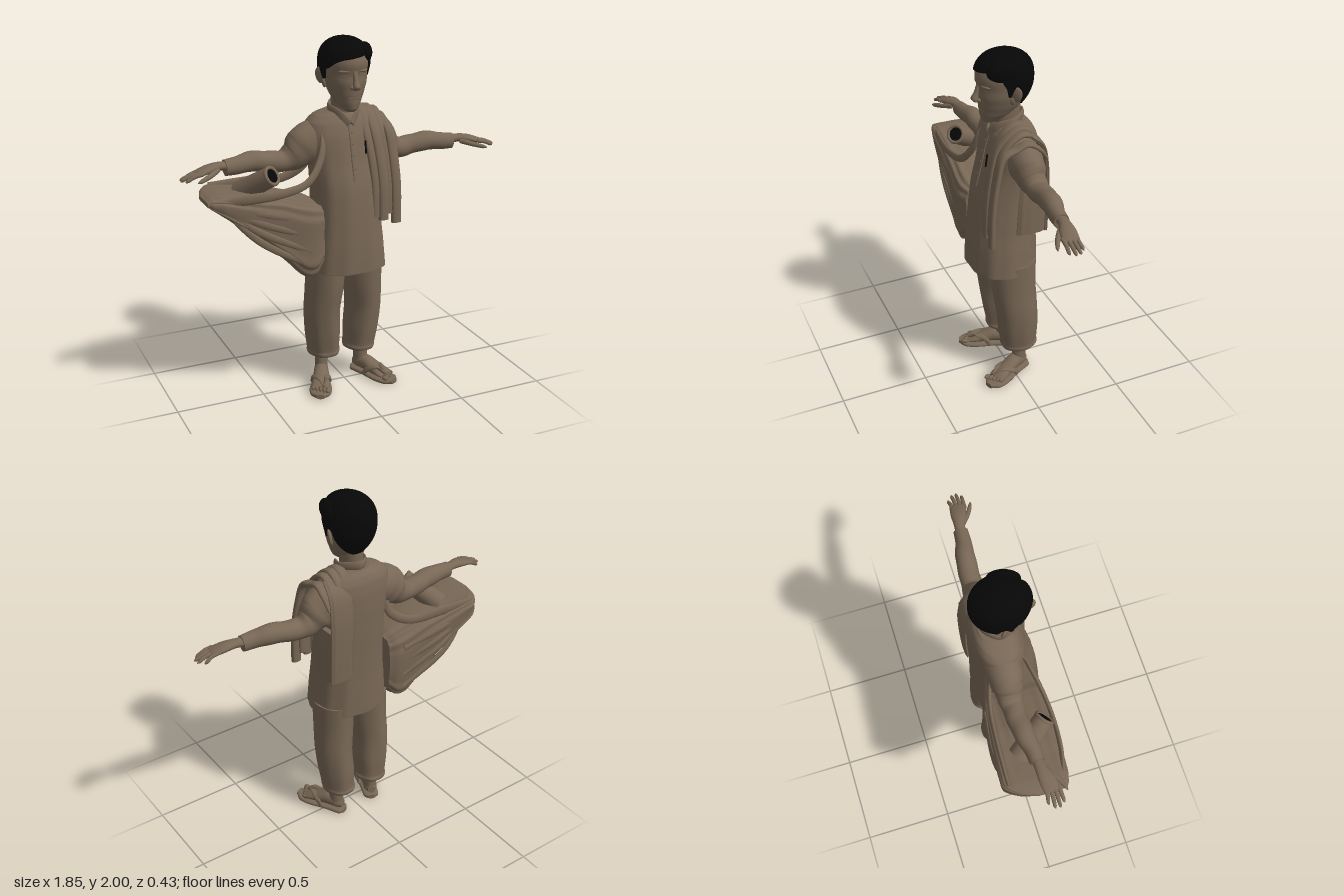
import * as THREE from 'three';

const X = new THREE.Vector3(1, 0, 0), Y = new THREE.Vector3(0, 1, 0), Z = new THREE.Vector3(0, 0, 1);

// Smooth closed loft. rows: [x, y, z, half size along u, half size along v]
function sweep(rows, { u = X, v = null, n = 24, steps = 6, pow = 2, fold = null } = {}) {
  const path = new THREE.CatmullRomCurve3(rows.map(r => new THREE.Vector3(r[0], r[1], r[2])));
  const size = new THREE.CatmullRomCurve3(rows.map(r => new THREE.Vector3(r[3], r[4], 0)), false, 'catmullrom', 0.4);
  const m = (rows.length - 1) * steps, pos = [], idx = [];
  const round = c => Math.sign(c) * Math.pow(Math.abs(c), 2 / pow);
  for (let i = 0; i <= m; i++) {
    const t = i / m, c = path.getPoint(t), s = size.getPoint(t), tan = path.getTangent(t);
    const vv = v ? v.clone() : tan.clone().cross(u).normalize();
    const uu = v ? u.clone() : vv.clone().cross(tan).normalize();
    for (let j = 0; j < n; j++) {
      const a = j / n * Math.PI * 2, f = fold ? fold(a, t) : 1;
      const p = c.clone().addScaledVector(uu, s.x * f * round(Math.cos(a))).addScaledVector(vv, s.y * f * round(Math.sin(a)));
      pos.push(p.x, p.y, p.z);
    }
  }
  const ends = path.getPoint(1).sub(path.getPoint(0));
  const flip = v && u.clone().cross(v).dot(ends) < 0;
  const tri = (a, b, c) => flip ? idx.push(a, c, b) : idx.push(a, b, c);
  for (let i = 0; i < m; i++) for (let j = 0; j < n; j++) {
    const a = i * n + j, b = i * n + (j + 1) % n;
    tri(a, b, a + n); tri(b, b + n, a + n);
  }
  // flat end caps on their own vertices
  for (const [row, first] of [[0, true], [m, false]]) {
    const base = pos.length / 3, c = path.getPoint(row / m);
    for (let k = 0; k < n * 3; k++) pos.push(pos[row * n * 3 + k]);
    pos.push(c.x, c.y, c.z);
    for (let j = 0; j < n; j++) {
      const a = base + j, b = base + (j + 1) % n;
      first ? tri(base + n, b, a) : tri(base + n, a, b);
    }
  }
  const g = new THREE.BufferGeometry();
  g.setAttribute('position', new THREE.Float32BufferAttribute(pos, 3));
  g.setIndex(idx);
  g.computeVertexNormals();
  return g;
}

// Hair shell: its lower edge follows the hairline around the head
function hairGeometry() {
  const n = 80, m = 18;
  const edge = new THREE.CatmullRomCurve3([[0, 1.905], [0.2, 1.9], [0.34, 1.87], [0.42, 1.845], [0.44, 1.79], [0.48, 1.79], [0.51, 1.835],
    [0.57, 1.835], [0.6, 1.79], [0.7, 1.725], [0.85, 1.695], [1, 1.69]].map(p => new THREE.Vector3(p[0], p[1], 0)));
  const pts = edge.getPoints(240);
  const line = k => pts.reduce((b, p) => Math.abs(p.x - k) < Math.abs(b.x - k) ? p : b).y;
  const pos = [], idx = [];
  for (let i = 0; i <= m; i++) for (let j = 0; j < n; j++) {
    const a = j / n * Math.PI * 2, k = Math.acos(Math.cos(a)) / Math.PI; // k: 0 front, 1 back
    const low = line(k) + (k < 0.4 ? 0.02 * Math.sin(a) : 0);
    const q = Math.max(0, i - 1) / (m - 1), y = low + (2 - low) * Math.sin(q * Math.PI / 2);
    let r = y > 1.85 ? Math.pow(Math.max(0, 1 - ((y - 1.85) / 0.15) ** 2.7), 0.5) : 1 - 0.45 * ((1.85 - y) / 0.16) ** 2 * (k > 0.6 ? 1 : 0.9);
    if (i === 0) r *= 0.86;
    // side parting above the left temple
    const part = 1 - 0.08 * Math.exp(-(((a - 0.6) / 0.12) ** 2)) * (1 - q * 0.6);
    pos.push(Math.sin(a) * 0.139 * r * part, y, Math.cos(a) * 0.162 * r * part - 0.001);
  }
  for (let i = 0; i < m; i++) for (let j = 0; j < n; j++) {
    const a = i * n + j, b = i * n + (j + 1) % n;
    idx.push(a, b, a + n, b, b + n, a + n);
  }
  const g = new THREE.BufferGeometry();
  g.setAttribute('position', new THREE.Float32BufferAttribute(pos, 3));
  g.setIndex(idx);
  g.computeVertexNormals();
  return g;
}

export function createModel() {
  const root = new THREE.Group();
  const brown = new THREE.MeshStandardMaterial({ color: 0x786755 });
  brown.name = 'warm brown';
  const black = new THREE.MeshStandardMaterial({ color: 0x070707, side: THREE.DoubleSide });
  black.name = 'black';
  const add = (parent, name, geo, mat = brown) => {
    const mesh = new THREE.Mesh(geo, mat);
    mesh.name = name;
    parent.add(mesh);
    return mesh;
  };
  const ball = (parent, name, p, s, mat = brown) => {
    const b = add(parent, name, new THREE.SphereGeometry(1, 18, 12), mat);
    b.position.set(...p);
    b.scale.set(...s);
    return b;
  };

  // Head and face
  const head = new THREE.Group();
  head.name = 'head';
  root.add(head);
  add(head, 'skull', sweep([[0, 1.612, 0.078, 0.025, 0.03], [0, 1.63, 0.066, 0.046, 0.06], [0, 1.67, 0.035, 0.073, 0.098], [0, 1.72, 0.018, 0.096, 0.121],
    [0, 1.77, 0.012, 0.111, 0.132], [0, 1.81, 0.007, 0.115, 0.135], [0, 1.87, 0.004, 0.12, 0.148], [0, 1.93, 0.003, 0.108, 0.13], [0, 1.97, 0, 0.07, 0.08]], { v: Z, n: 36 }));
  add(head, 'neck', sweep([[0, 1.53, -0.035, 0.075, 0.075], [0, 1.6, -0.025, 0.06, 0.072], [0, 1.7, -0.02, 0.062, 0.075]], { v: Z }));
  add(head, 'nose', sweep([[0, 1.84, 0.134, 0.014, 0.012], [0, 1.79, 0.148, 0.013, 0.015], [0, 1.755, 0.161, 0.02, 0.02], [0, 1.738, 0.152, 0.022, 0.016]], { n: 16, v: Z }));
  ball(head, 'upperLip', [0, 1.691, 0.123], [0.036, 0.006, 0.013]);
  ball(head, 'lowerLip', [0, 1.679, 0.121], [0.03, 0.007, 0.012]);
  ball(head, 'chin', [0, 1.637, 0.105], [0.03, 0.022, 0.02]);
  add(head, 'hair', hairGeometry(), black);
  ball(head, 'sweptHair', [0.098, 1.915, 0.045], [0.04, 0.052, 0.085], black).rotation.y = -0.3;
  for (const s of [1, -1]) {
    ball(head, 'nostril', [s * 0.018, 1.748, 0.142], [0.011, 0.011, 0.014]);
    ball(head, 'eyelid', [s * 0.045, 1.807, 0.118], [0.025, 0.011, 0.012]).rotation.y = s * 0.35;
    ball(head, 'brow', [s * 0.05, 1.833, 0.122], [0.036, 0.009, 0.016]).rotation.y = s * 0.4;
    const ear = ball(head, 'ear', [s * 0.131, 1.797, -0.018], [0.011, 0.046, 0.029]);
    ear.rotation.set(-0.1, s * -0.6, s * -0.22);
    ball(head, 'earLobe', [s * 0.116, 1.757, -0.005], [0.009, 0.026, 0.016]).rotation.z = s * -0.25;
  }

  // Long shirt, hollow at the hem
  add(root, 'shirt', sweep([[0, 0.8, 0.022, 0.205, 0.172], [0, 0.735, 0.022, 0.212, 0.18], [0, 0.73, 0.022, 0.222, 0.19], [0, 0.85, 0.02, 0.21, 0.188], [0, 1, 0.015, 0.195, 0.182],
    [0, 1.2, 0.002, 0.188, 0.172], [0, 1.35, -0.018, 0.195, 0.152], [0, 1.47, -0.03, 0.212, 0.137], [0, 1.54, -0.038, 0.203, 0.12], [0, 1.58, -0.042, 0.162, 0.1], [0, 1.605, -0.04, 0.085, 0.078]],
  { v: Z, n: 72, pow: 2.3, fold: (a, t) => 1 + 0.018 * (1 - t) * Math.sin(11 * a + 2 * t) }));
  add(root, 'collar', sweep([[0.012, 1.535, 0.085, 0.03, 0.007], [0.055, 1.59, 0.045, 0.03, 0.008], [0.078, 1.618, -0.03, 0.024, 0.008], [0, 1.632, -0.108, 0.024, 0.008],
    [-0.078, 1.618, -0.03, 0.024, 0.008], [-0.055, 1.59, 0.045, 0.03, 0.008], [-0.012, 1.535, 0.085, 0.03, 0.007]], { u: Y, n: 12 }));
  add(root, 'placket', sweep([[0, 1.54, 0.08, 0.016, 0.006], [0, 1.47, 0.106, 0.016, 0.006], [0, 1.35, 0.134, 0.016, 0.006], [0, 1.24, 0.163, 0.016, 0.006]], { n: 12, pow: 4 }));
  for (const [y, z] of [[1.5, 0.102], [1.44, 0.119], [1.38, 0.133], [1.31, 0.15]]) ball(root, 'button', [0, y, z], [0.006, 0.006, 0.003]);
  const pen = add(root, 'pen', new THREE.CylinderGeometry(0.005, 0.005, 0.07, 10), black);
  pen.position.set(0.07, 1.418, 0.127);
  pen.rotation.x = -0.15;

  // Shawl over the left shoulder: hanging folds in front, a smooth sheet behind
  for (let i = 0; i < 4; i++) {
    const x = 0.095 + i * 0.041, top = [1.612, 1.605, 1.59, 1.553][i], w = 0.028, out = i % 2 * 0.012;
    const bottom = [1.03, 1.01, 1.04, 0.985][i], bx = 0.122 + i * 0.038;
    add(root, 'shawlFold', sweep([[bx, bottom, 0.16 + out, w, 0.018], [bx, 1.2, 0.152 + out, w, 0.017], [(x + bx) / 2, 1.38, 0.122 + out, w, 0.016],
      [x, 1.5, 0.082 + out, w, 0.016], [x, top - 0.02, 0.02, w, 0.014], [x, top, -0.04, w, 0.014], [x, top - 0.04, -0.105, w, 0.012],
      [x * 0.95, 1.45, -0.15, w, 0.01]], { n: 16, pow: 2.6 }));
  }
  add(root, 'shawlBack', sweep([[0.16, 1, -0.156, 0.066, 0.014], [0.16, 1.2, -0.162, 0.066, 0.014], [0.155, 1.4, -0.158, 0.07, 0.015], [0.148, 1.52, -0.133, 0.073, 0.015],
    [0.143, 1.58, -0.07, 0.068, 0.015]], { n: 40, pow: 2.6, fold: a => 1 + 0.05 * Math.sin(9 * a) }));
  add(root, 'shawlSide', sweep([[0.207, 1, -0.075, 0.02, 0.085], [0.207, 1.15, -0.08, 0.018, 0.08], [0.2, 1.3, -0.088, 0.015, 0.07]],
    { v: Z, n: 36, fold: a => 1 + 0.05 * Math.sin(9 * a) }));

  // Arms, legs and feet, built for the left and mirrored
  for (const side of [1, -1]) {
    const half = new THREE.Group();
    half.name = side > 0 ? 'leftLimbs' : 'rightLimbs';
    half.scale.x = side;
    root.add(half);
    add(half, 'sleeve', sweep([[0.13, 1.455, -0.04, 0.11, 0.1], [0.195, 1.43, -0.04, 0.115, 0.094], [0.245, 1.395, -0.042, 0.104, 0.085], [0.29, 1.362, -0.044, 0.077, 0.07],
      [0.35, 1.344, -0.046, 0.059, 0.06], [0.43, 1.354, -0.044, 0.055, 0.056], [0.52, 1.366, -0.036, 0.055, 0.054], [0.61, 1.358, -0.02, 0.048, 0.044], [0.675, 1.354, -0.015, 0.044, 0.04]],
    { u: Y, n: 32, steps: 10, fold: (a, t) => 1 + 0.03 * Math.sin(t * 36 + 2 * Math.sin(a)) * Math.sin(Math.PI * t) }));
    add(half, 'palm', sweep([[0.64, 1.36, -0.015, 0.026, 0.03], [0.71, 1.368, -0.012, 0.023, 0.03], [0.77, 1.362, 0, 0.022, 0.042], [0.83, 1.348, 0.012, 0.015, 0.045],
      [0.845, 1.343, 0.014, 0.009, 0.042]], { u: Y }));
    for (let i = 0; i < 4; i++) {
      const z = -0.02 + i * 0.023, e = [0.895, 0.922, 0.925, 0.905][i], spread = (i - 1.5) * 0.003;
      add(half, 'finger', sweep([[0.81, 1.352, z, 0.011, 0.011], [(0.81 + e) / 2, 1.343, z + 0.001, 0.011, 0.011], [e - 0.012, 1.326, z + spread, 0.009, 0.009],
        [e, 1.321, z + spread, 0.003, 0.003]], { u: Y, n: 10, steps: 4 }));
    }
    add(half, 'thumb', sweep([[0.72, 1.355, 0.01, 0.016, 0.016], [0.77, 1.34, 0.05, 0.014, 0.014], [0.83, 1.325, 0.083, 0.011, 0.01], [0.85, 1.32, 0.09, 0.003, 0.003]], { u: Y, n: 12 }));

    // trouser leg turns inward at the bottom, leaving a hollow cuff
    add(half, 'trouserLeg', sweep([[0.111, 0.25, -0.048, 0.076, 0.09], [0.111, 0.185, -0.048, 0.08, 0.094], [0.111, 0.176, -0.048, 0.088, 0.103], [0.111, 0.192, -0.048, 0.094, 0.109],
      [0.113, 0.212, -0.046, 0.091, 0.106], [0.12, 0.32, -0.038, 0.098, 0.116], [0.127, 0.45, -0.027, 0.099, 0.121], [0.117, 0.6, -0.013, 0.105, 0.128], [0.112, 0.78, -0.005, 0.11, 0.135]],
    { v: Z, n: 40, fold: (a, t) => 1 + 0.022 * Math.sin(6 * a + 5 * t) * Math.sin(Math.PI * t) }));

    const foot = new THREE.Group();
    foot.name = 'foot';
    foot.position.set(0.165, 0, 0.045);
    foot.rotation.y = 0.42;
    half.add(foot);
    add(foot, 'ankle', sweep([[0, 0.05, -0.1, 0.038, 0.047], [0, 0.11, -0.1, 0.037, 0.043], [0, 0.27, -0.105, 0.038, 0.042]], { v: Z }));
    add(foot, 'instep', sweep([[0, 0.058, -0.145, 0.022, 0.024], [0, 0.065, -0.115, 0.038, 0.038], [0, 0.07, -0.05, 0.042, 0.045], [0, 0.055, 0.02, 0.047, 0.034],
      [0, 0.045, 0.075, 0.052, 0.021], [0, 0.04, 0.105, 0.047, 0.012]], { v: Y }));
    add(foot, 'sandalSole', sweep([[0, 0.016, -0.16, 0.02, 0.014], [0, 0.016, -0.14, 0.044, 0.015], [0, 0.016, -0.05, 0.049, 0.015], [0, 0.016, 0.06, 0.064, 0.015],
      [0, 0.016, 0.125, 0.056, 0.015], [0, 0.018, 0.163, 0.022, 0.014]], { v: Y, pow: 3 }));
    for (let i = 0; i < 5; i++) ball(foot, 'toe', [-0.042 + i * 0.021, 0.04, 0.128 - i * 0.009], [i ? 0.01 : 0.014, 0.012, 0.022]);
    for (const s of [1, -1]) add(foot, 'sandalStrap', sweep([[-0.018, 0.055, 0.105, 0.01, 0.006], [s * 0.02 - 0.01, 0.078, 0.055, 0.014, 0.007],
      [s * 0.046, 0.062, 0.005, 0.015, 0.007], [s * 0.054, 0.025, -0.03, 0.014, 0.007]], { u: Z, n: 12 }));
  }

  // Cloth shoulder bag swung out beside the right hip
  const bag = new THREE.Group();
  bag.name = 'shoulderBag';
  root.add(bag);
  add(bag, 'bagBody', sweep([[-0.81, 1.2, 0.03, 0.012, 0.08], [-0.775, 1.192, -0.01, 0.032, 0.135], [-0.72, 1.172, -0.035, 0.055, 0.172], [-0.65, 1.14, -0.032, 0.08, 0.176],
    [-0.53, 1.083, -0.023, 0.123, 0.176], [-0.4, 1.015, -0.012, 0.172, 0.176], [-0.29, 0.945, 0, 0.212, 0.176], [-0.23, 0.935, 0.005, 0.205, 0.17], [-0.18, 0.95, 0.005, 0.165, 0.145]],
  { u: Y, v: Z, n: 80, pow: 5, fold: (a, t) => 1 + 0.022 * Math.sin(13 * a + 3 * t) }));
  for (const s of [1, -1]) for (let i = 0; i < 4; i++) {
    const y = 0.8 + i * 0.085, z = s > 0 ? 0.167 : -0.168;
    add(bag, 'bagCrease', sweep([[-0.76, 1.2 - 0.006 * i, s > 0 ? 0.108 : -0.13, 0.008, 0.006], [-0.55, (y + 1.2) / 2 - 0.02 + i * 0.008, s > 0 ? 0.147 : -0.195, 0.02, 0.009],
      [-0.26, y, z, 0.016, 0.008]], { u: Y, n: 12 }));
  }
  add(bag, 'frontStrap', sweep([[-0.74, 1.2, 0.11, 0.02, 0.01], [-0.6, 1.215, 0.14, 0.03, 0.012], [-0.42, 1.225, 0.15, 0.025, 0.012], [-0.27, 1.26, 0.135, 0.022, 0.012],
    [-0.19, 1.35, 0.105, 0.022, 0.012], [-0.155, 1.45, 0.075, 0.02, 0.01], [-0.15, 1.52, 0.03, 0.014, 0.008]], { u: new THREE.Vector3(-0.4, 0.9, 0), n: 14 }));
  add(bag, 'backStrap', sweep([[-0.72, 1.215, -0.18, 0.02, 0.01], [-0.5, 1.215, -0.17, 0.03, 0.012], [-0.3, 1.22, -0.15, 0.026, 0.012], [-0.19, 1.29, -0.12, 0.024, 0.012],
    [-0.16, 1.4, -0.1, 0.015, 0.008]], { u: new THREE.Vector3(-0.4, 0.9, 0), n: 14 }));

  // Rolled paper standing out of the bag, open at its end
  const roll = new THREE.Group();
  roll.name = 'paperRoll';
  roll.position.set(-0.455, 1.312, 0.095);
  roll.quaternion.setFromUnitVectors(Y, new THREE.Vector3(0.5, 0.5, 0.7).normalize());
  bag.add(roll);
  add(roll, 'rollBody', new THREE.CylinderGeometry(0.054, 0.062, 0.24, 28)).position.y = -0.12;
  const rim = add(roll, 'rollRim', new THREE.TorusGeometry(0.047, 0.01, 10, 28));
  rim.rotation.x = Math.PI / 2;
  add(roll, 'rollHole', new THREE.CylinderGeometry(0.038, 0.038, 0.006, 24), black);
  return root;
}
